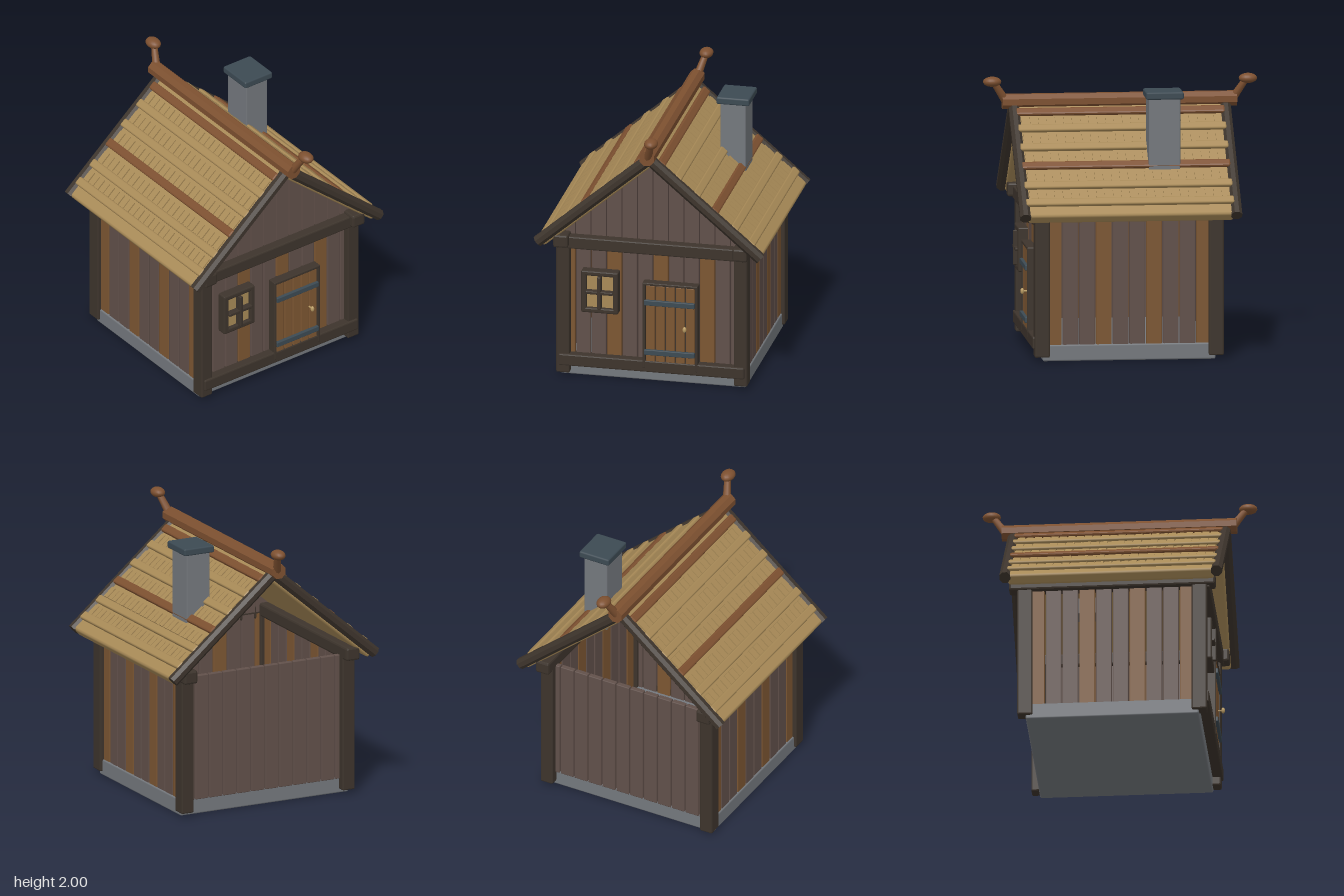
import * as THREE from 'three';
import { RoundedBoxGeometry } from 'three/addons/geometries/RoundedBoxGeometry.js';
import { mergeGeometries } from 'three/addons/utils/BufferGeometryUtils.js';

const mat = (name, color, extra = {}) => {
  const m = new THREE.MeshStandardMaterial({ color, ...extra });
  m.name = name;
  return m;
};

export function createModel() {
  const house = new THREE.Group();
  house.name = 'cottage';

  const stone = mat('grey stone', 0x74787d);
  const slate = mat('dark slate', 0x3c4a53);
  const timber = mat('dark timber', 0x3d342c, { flatShading: true });
  const plankGrey = mat('weathered plank', 0x61504a);
  const plankBrown = mat('warm plank', 0x7c5632);
  const ridgeWood = mat('ridge wood', 0x7d5030, { flatShading: true });
  const straw = mat('straw', 0xa88a57);
  const brass = mat('brass', 0xb89a62);

  const add = (parent, name, geometry, material, x = 0, y = 0, z = 0) => {
    const mesh = new THREE.Mesh(geometry, material);
    mesh.name = name;
    mesh.position.set(x, y, z);
    parent.add(mesh);
    return mesh;
  };
  // softened box given by its lower and upper limits on each axis
  const box = (parent, name, material, [x0, x1], [y0, y1], [z0, z1], r = 0.01) => {
    const w = x1 - x0, h = y1 - y0, d = z1 - z0;
    const g = new RoundedBoxGeometry(w, h, d, 1, Math.min(r, w / 3, h / 3, d / 3));
    return add(parent, name, g, material, (x0 + x1) / 2, (y0 + y1) / 2, (z0 + z1) / 2);
  };
  const group = (name, parent = house) => {
    const g = new THREE.Group();
    g.name = name;
    parent.add(g);
    return g;
  };

  const GAP = 0.004, SLOPE = 0.854, ANGLE = Math.atan(SLOPE);

  // Foundation and timber frame
  box(house, 'foundation', stone, [-0.69, 0.69], [0, 0.12], [-0.63, 0.63], 0.012);
  const frame = group('timberFrame');
  for (const s of [-1, 1]) {
    for (const t of [-1, 1])
      box(frame, 'cornerPost', timber, [s * 0.66 - 0.05, s * 0.66 + 0.05], [0.03, 1.06],
        [t * 0.635 - 0.055, t * 0.635 + 0.055]);
    box(frame, 'wallPlate', timber, [s * 0.665 - 0.055, s * 0.665 + 0.055], [1.02, 1.12], [-0.75, 0.75], 0.015);
  }
  box(frame, 'sillBeam', timber, [-0.69, 0.69], [0.09, 0.18], [0.61, 0.705]);
  box(frame, 'tieBeam', timber, [-0.69, 0.69], [1.005, 1.1], [0.6, 0.71]);

  // Front wall, front gable and back wall: twelve planks across
  const front = group('frontWall'), back = group('backWall'), gable = group('frontGable');
  for (let i = 0; i < 12; i++) {
    const x0 = -0.69 + i * 0.115 + GAP, x1 = x0 + 0.115 - 2 * GAP;
    box(front, 'frontPlank', i % 3 ? plankGrey : plankBrown, [x0, x1], [0.11, 1.05], [0.6, 0.64], 0.006);
    box(back, 'backPlank', plankGrey, [x0, x1], [0.11, 1.045], [-0.64, -0.6], 0.006);
    const roofY = x => 1.705 - SLOPE * Math.abs(x);
    const shape = new THREE.Shape([[x0, 1.055], [x1, 1.055], [x1, roofY(x1)], [x0, roofY(x0)]]
      .map(p => new THREE.Vector2(...p)));
    add(gable, 'gablePlank', new THREE.ExtrudeGeometry(shape, { depth: 0.04, bevelEnabled: false }),
      plankGrey, 0, 0, 0.6);
  }

  // Side walls: ten planks each
  for (const s of [-1, 1]) {
    const side = group(s > 0 ? 'leftWall' : 'rightWall');
    for (let i = 0; i < 10; i++) {
      const z1 = 0.61 - i * 0.122 - GAP, z0 = z1 - 0.122 + 2 * GAP;
      box(side, 'sidePlank', i % 3 ? plankGrey : plankBrown,
        [s * 0.66 - 0.02, s * 0.66 + 0.02], [0.11, 1.05], [z0, z1], 0.006);
    }
  }

  // Window
  const win = group('window');
  add(win, 'pane', new THREE.BoxGeometry(0.22, 0.27, 0.03), straw, -0.3825, 0.6825, 0.67);
  for (const x of [-0.52, -0.284]) box(win, 'frameSide', timber, [x, x + 0.039], [0.52, 0.845], [0.63, 0.712]);
  for (const y of [0.52, 0.806]) box(win, 'frameRail', timber, [-0.52, -0.245], [y, y + 0.039], [0.63, 0.712]);
  box(win, 'mullion', timber, [-0.396, -0.369], [0.555, 0.81], [0.68, 0.735], 0.006);
  box(win, 'transom', timber, [-0.485, -0.28], [0.67, 0.695], [0.68, 0.73], 0.006);

  // Door
  const door = group('door');
  add(door, 'doorBacking', new THREE.BoxGeometry(0.38, 0.6, 0.04), timber, 0.14, 0.48, 0.66);
  for (const x of [-0.065, 0.325]) box(door, 'doorJamb', timber, [x, x + 0.021], [0.12, 0.785], [0.63, 0.708], 0.006);
  box(door, 'doorLintel', timber, [-0.065, 0.346], [0.765, 0.787], [0.63, 0.708], 0.006);
  for (let i = 0; i < 5; i++) {
    const x = -0.044 + i * 0.074;
    box(door, 'doorPlank', plankBrown, [x + 0.004, x + 0.07], [0.17, 0.765], [0.67, 0.7], 0.006);
  }
  for (const y of [0.25, 0.635])
    box(door, 'strapHinge', slate, [-0.05, 0.325], [y - 0.02, y + 0.02], [0.695, 0.722], 0.005);
  add(door, 'knob', new THREE.SphereGeometry(0.014, 14, 10), brass, 0.255, 0.455, 0.735).scale.set(1, 1.6, 1);
  const stem = add(door, 'knobStem', new THREE.CylinderGeometry(0.006, 0.006, 0.04, 8), brass, 0.255, 0.455, 0.715);
  stem.rotation.x = Math.PI / 2;

  // Roof: in each slope group, x runs down the slope and y is its normal
  const log = (r, length) => new THREE.CylinderGeometry(r, r, length, 8).rotateY(Math.PI / 8);
  const LENGTH = 1.085, battens = [0.085, 0.243, 0.426, 0.604, 0.795, 0.96];
  for (const s of [1, -1]) {
    const turn = group(s > 0 ? 'leftRoof' : 'rightRoof');
    turn.rotation.y = s > 0 ? 0 : Math.PI;
    const slope = group('roofSlope', turn);
    slope.position.y = 1.77;
    slope.rotation.z = -ANGLE;
    box(slope, 'thatchSlab', straw, [0, LENGTH], [-0.055, 0.028], [-0.75, 0.75], 0.02);

    battens.forEach((b, i) => {
      const brown = i === 0 || i === 3;
      box(slope, 'batten', brown ? ridgeWood : straw, [b - 0.032, b + 0.032], [0.015, 0.053], [-0.76, 0.76], 0.012);
    });

    // rows of short shingles between the battens
    const shingles = [];
    for (let i = 0; i < 5; i++) {
      const mid = (battens[i] + battens[i + 1]) / 2;
      for (let k = 0; k < 24; k++) {
        const g = new THREE.BoxGeometry(0.09, 0.02, 0.052);
        shingles.push(g.translate(mid + 0.014, 0.027 + 0.002 * (k % 2), (k - 11.5) * 0.061));
      }
    }
    add(slope, 'shingles', mergeGeometries(shingles), straw);

    for (const t of [-1, 1])
      add(slope, 'bargeLog', log(0.043, LENGTH).rotateZ(Math.PI / 2), timber, LENGTH / 2, 0.006, t * 0.77);
  }

  // Ridge log with a leaning knobbed horn at each end
  const ridge = group('ridge');
  add(ridge, 'ridgeLog', log(0.058, 1.71).rotateX(Math.PI / 2), ridgeWood, 0, 1.81, 0);
  const hornWood = mat('horn wood', 0x7d5030);
  for (const t of [-1, 1]) {
    const a = new THREE.Vector3(0, 1.8, t * 0.82), b = new THREE.Vector3(0.05, 1.965, t * 0.925);
    const horn = add(ridge, 'horn', new THREE.CylinderGeometry(0.023, 0.032, a.distanceTo(b), 10), hornWood);
    horn.position.copy(a).lerp(b, 0.5);
    horn.quaternion.setFromUnitVectors(new THREE.Vector3(0, 1, 0), b.clone().sub(a).normalize());
    add(ridge, 'hornKnob', new THREE.SphereGeometry(1, 18, 12), hornWood, 0.05, 1.963, t * 0.933)
      .scale.set(0.05, 0.037, 0.067);
  }

  // Chimney
  const chimney = group('chimney');
  box(chimney, 'chimneyStack', stone, [0.322, 0.512], [1.3, 1.9], [-0.392, -0.162], 0.008);
  box(chimney, 'chimneyCap', slate, [0.297, 0.542], [1.883, 1.937], [-0.415, -0.14], 0.012);

  return house;
}
